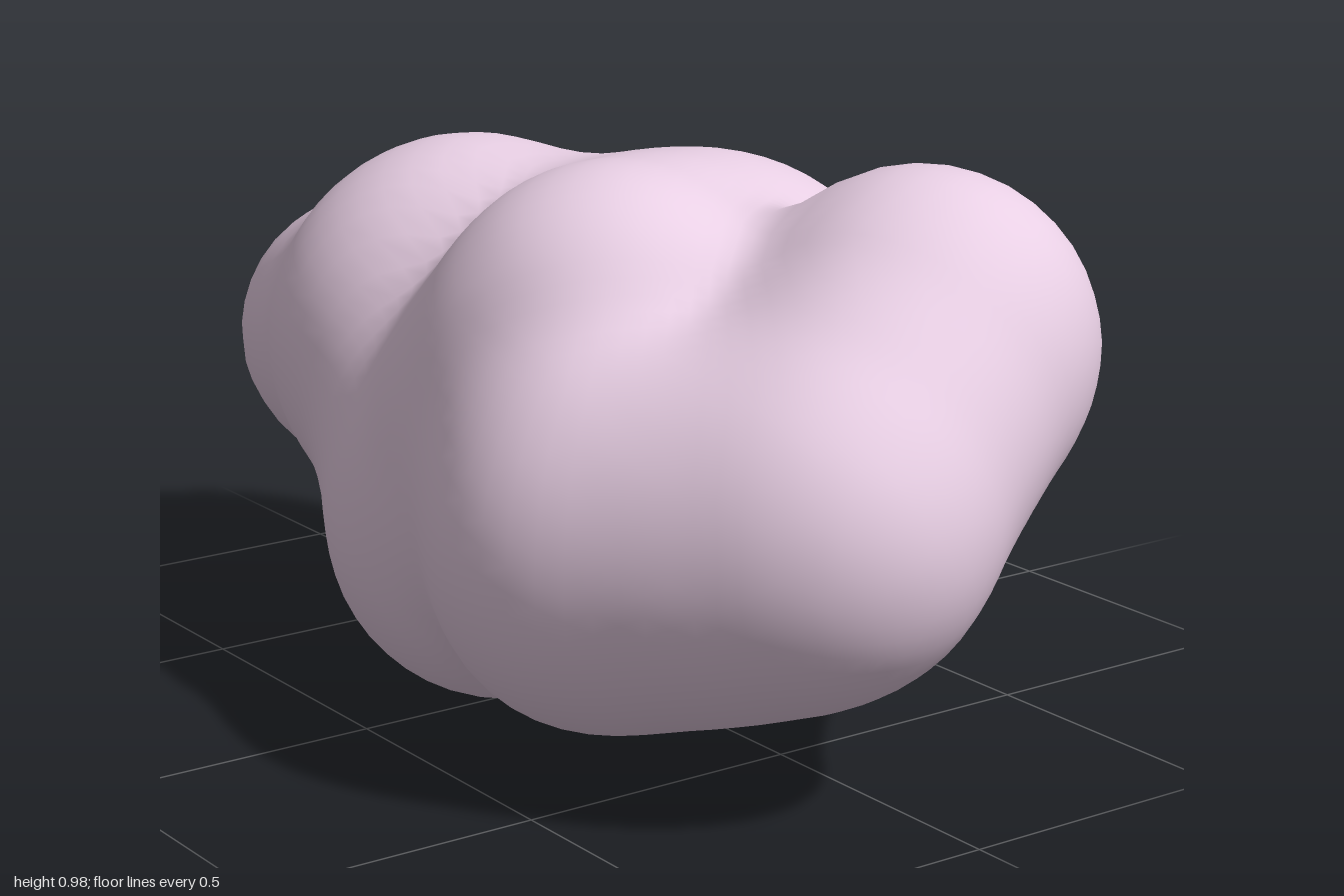
import * as THREE from 'three';
import { mergeVertices } from 'three/addons/utils/BufferGeometryUtils.js';

// Lobes of the cloud: x, y, z, radius
const LOBES = [
  [-0.74, 0.48, 0.012, 0.26],   // tail
  [-0.39, 0.54, 0.025, 0.37],   // shoulder
  [-0.2, 0.51, -0.1, 0.31],     // bridge from shoulder to back
  [0.0, 0.54, -0.21, 0.375],    // back
  [-0.03, 0.31, 0.195, 0.308],  // belly
  [0.0, 0.33, 0.05, 0.25],      // underside
  [-0.18, 0.42, 0.13, 0.26],    // bridge from shoulder to belly
  [0.2, 0.665, 0.14, 0.3],      // crown
  [0.08, 0.61, -0.03, 0.3],     // saddle between crown and back
  [0.11, 0.5, 0.19, 0.28],      // chest between crown and belly
  [0.58, 0.69, -0.21, 0.295],   // upper back puff
  [0.4, 0.375, 0.285, 0.288],   // lower front puff
  [0.42, 0.48, 0.27, 0.25],     // top of the front puff
  [0.7, 0.48, 0.1, 0.297],      // side puff
  [0.66, 0.6, -0.06, 0.24],     // bridge from side to upper back
  [0.57, 0.42, 0.19, 0.255],    // bridge from side to front
  [0.3, 0.37, 0.1, 0.25],       // bridge from belly to front
  [0.36, 0.45, -0.02, 0.23],    // hollow between back and side
];
const BLEND = 0.13;

// Signed distance to the softly joined lobes
function distance(p) {
  let d = Infinity;
  for (const [x, y, z, r] of LOBES) {
    const s = Math.hypot(p.x - x, p.y - y, p.z - z) - r;
    const h = Math.max(BLEND - Math.abs(d - s), 0) / BLEND;
    d = Math.min(d, s) - (h * h * BLEND) / 4;
  }
  return d;
}

// Shrink a ball inwards along its rays until it rests on the lobes
function cloudGeometry() {
  let geo = new THREE.IcosahedronGeometry(1, 18);
  geo.deleteAttribute('uv');
  geo.deleteAttribute('normal');
  geo = mergeVertices(geo, 1e-4);
  const centre = new THREE.Vector3(0.2, 0.5, 0);
  const pos = geo.attributes.position;
  const dir = new THREE.Vector3();
  const p = new THREE.Vector3();
  for (let i = 0; i < pos.count; i++) {
    dir.fromBufferAttribute(pos, i);
    dir.x *= 1.6; // more points towards the long ends
    dir.normalize();
    let r = 1.5;
    for (let step = 0; step < 80; step++) {
      const d = distance(p.copy(centre).addScaledVector(dir, r));
      if (d < 0.0005) break;
      r -= d;
    }
    pos.setXYZ(i, p.x, p.y, p.z);
  }
  geo.computeVertexNormals();
  return geo;
}

export function createModel() {
  const group = new THREE.Group();
  group.name = 'cloud';
  const material = new THREE.MeshStandardMaterial({ color: 0xe8cfe4 });
  const body = new THREE.Mesh(cloudGeometry(), material);
  body.name = 'cloudBody';
  group.add(body);
  return group;
}
